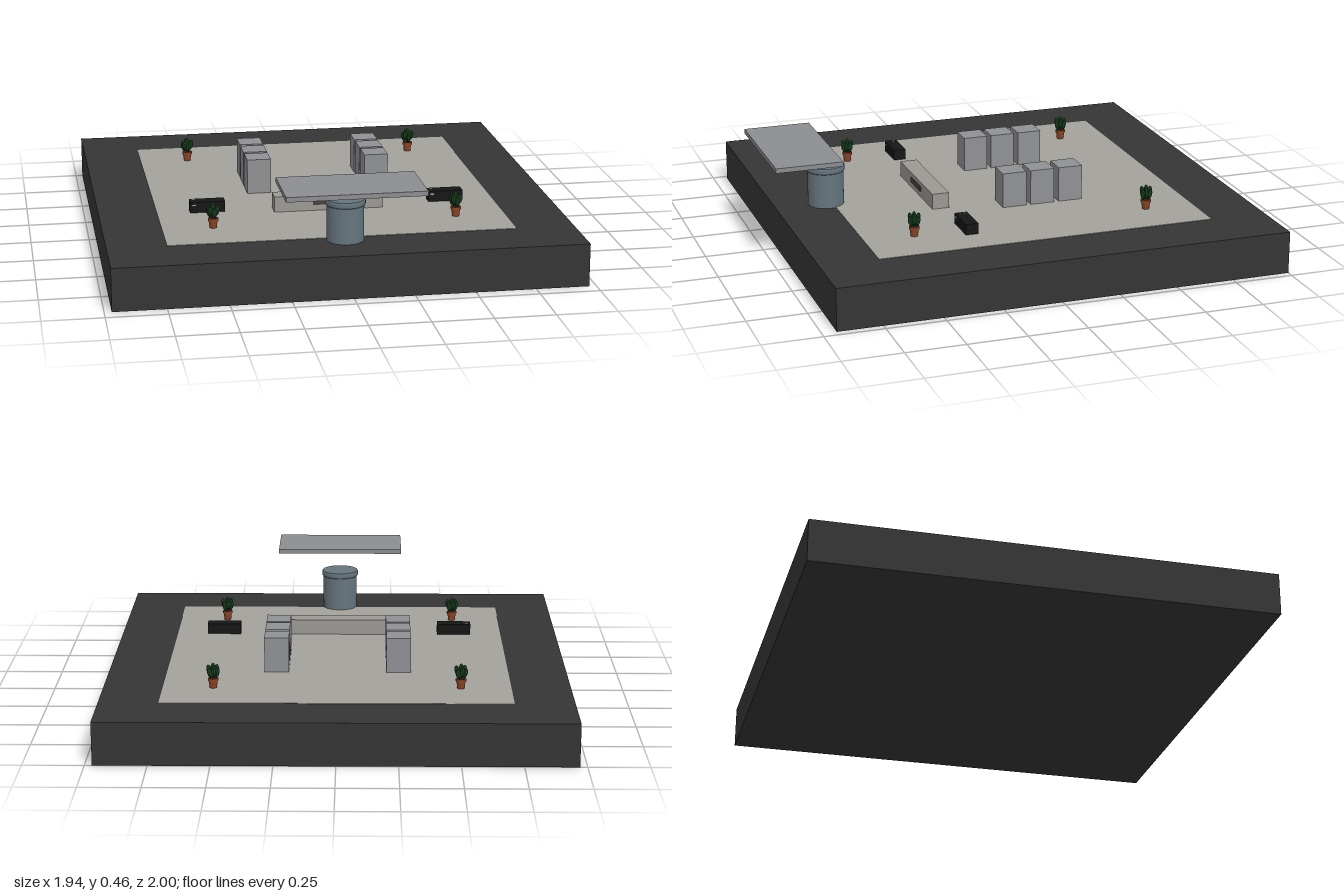
import * as THREE from 'three';

const mat = (color, flatShading = false) => new THREE.MeshStandardMaterial({ color, flatShading });
const BASE = mat(0x353535), FLOOR = mat(0xa4a29c), CABINET = mat(0x909194), CANOPY = mat(0x8c8d92);
const KIOSK = mat(0x66757d), COUNTER = mat(0x9c9994), PLAQUE = mat(0x4a3f3a), BLACK = mat(0x161616);
const LIGHT = mat(0xb0b0b0), CLAY = mat(0x8a4526), SOIL = mat(0x2c1d14), LEAF = mat(0x1f4a26, true);

const TOP = 0.183; // floor level

// Box given by its minimum and maximum corners
function box(name, material, [x0, y0, z0], [x1, y1, z1]) {
  const mesh = new THREE.Mesh(new THREE.BoxGeometry(x1 - x0, y1 - y0, z1 - z0), material);
  mesh.position.set((x0 + x1) / 2, (y0 + y1) / 2, (z0 + z1) / 2);
  mesh.name = name;
  return mesh;
}

function cylinder(name, material, rTop, rBottom, y0, y1, sides = 48) {
  const mesh = new THREE.Mesh(new THREE.CylinderGeometry(rTop, rBottom, y1 - y0, sides), material);
  mesh.position.y = (y0 + y1) / 2;
  mesh.name = name;
  return mesh;
}

// Clay pot with a rim and a cluster of upright plump leaves
function pottedPlant() {
  const plant = new THREE.Group();
  plant.name = 'pottedPlant';
  plant.add(
    cylinder('pot', CLAY, 0.019, 0.015, 0, 0.032, 20),
    cylinder('potRim', CLAY, 0.022, 0.022, 0.03, 0.041, 20),
    cylinder('soil', SOIL, 0.018, 0.018, 0.035, 0.0415, 20),
  );
  const leafGeometry = new THREE.SphereGeometry(1, 8, 6);
  const leaf = (radius, angle, y, height, lean) => {
    const mesh = new THREE.Mesh(leafGeometry, LEAF);
    mesh.name = 'leaf';
    mesh.scale.set(0.011, height, 0.011);
    mesh.position.set(radius * Math.cos(angle), y, radius * Math.sin(angle));
    mesh.rotation.set(lean * Math.sin(angle), 0, -lean * Math.cos(angle));
    plant.add(mesh);
  };
  leaf(0, 0, 0.074, 0.033, 0);
  for (let i = 0; i < 6; i++) {
    const a = (i * Math.PI) / 3 + 0.3;
    leaf(0.017, a, i % 2 ? 0.066 : 0.074, 0.023, 0.25);
  }
  return plant;
}

// Low black seat with a small light fitting at its right end
function bench() {
  const group = new THREE.Group();
  group.name = 'bench';
  group.add(
    box('benchBody', BLACK, [-0.074, 0.004, -0.027], [0.074, 0.05, 0.027]),
    box('benchFitting', LIGHT, [-0.065, 0.034, 0.0265], [-0.05, 0.04, 0.028]),
    box('benchTopFitting', LIGHT, [-0.063, 0.0495, -0.011], [-0.05, 0.051, -0.007]),
  );
  return group;
}

export function createModel() {
  const model = new THREE.Group();
  model.name = 'shopFloor';

  // Ground slab and inlaid floor
  model.add(
    box('base', BASE, [-0.97, 0, -1], [0.97, 0.181, 0.94]),
    box('floor', FLOOR, [-0.725, 0.17, -0.755], [0.725, TOP, 0.695]),
  );

  // Two rows of three cabinets
  for (const side of [-1, 1]) {
    for (const z of [-0.28, -0.153, -0.028]) {
      const x = side * 0.258;
      model.add(box('cabinet', CABINET, [x - 0.052, TOP, z - 0.053], [x + 0.052, 0.334, z + 0.053]));
    }
  }

  // Counter with a plain plaque on its front
  model.add(
    box('counter', COUNTER, [-0.233, TOP, 0.24], [0.233, 0.25, 0.315]),
    box('counterPlaque', PLAQUE, [-0.068, 0.208, 0.314], [0.068, 0.23, 0.319]),
  );

  // Round kiosk with an overhanging rounded lid
  const kiosk = new THREE.Group();
  kiosk.name = 'kiosk';
  const lidProfile = [[0, 0.332], [0.08, 0.332], [0.083, 0.336], [0.083, 0.352], [0.08, 0.357], [0.08, 0.357], [0, 0.357]]
    .map(([r, y]) => new THREE.Vector2(r, y));
  const lid = new THREE.Mesh(new THREE.LatheGeometry(lidProfile, 48), KIOSK);
  lid.name = 'kioskLid';
  kiosk.add(cylinder('kioskBody', KIOSK, 0.077, 0.077, 0.18, 0.335), lid);
  kiosk.position.z = 0.719;
  model.add(kiosk);

  // Flat canopy above the entrance
  model.add(box('canopy', CANOPY, [-0.284, 0.435, 0.714], [0.284, 0.455, 1]));

  // Benches and corner plants
  for (const side of [-1, 1]) {
    const seat = bench();
    seat.position.set(side * 0.513, TOP, 0.256);
    model.add(seat);
    for (const z of [-0.546, 0.482]) {
      const plant = pottedPlant();
      plant.position.set(side * 0.513, TOP, z);
      model.add(plant);
    }
  }
  return model;
}
